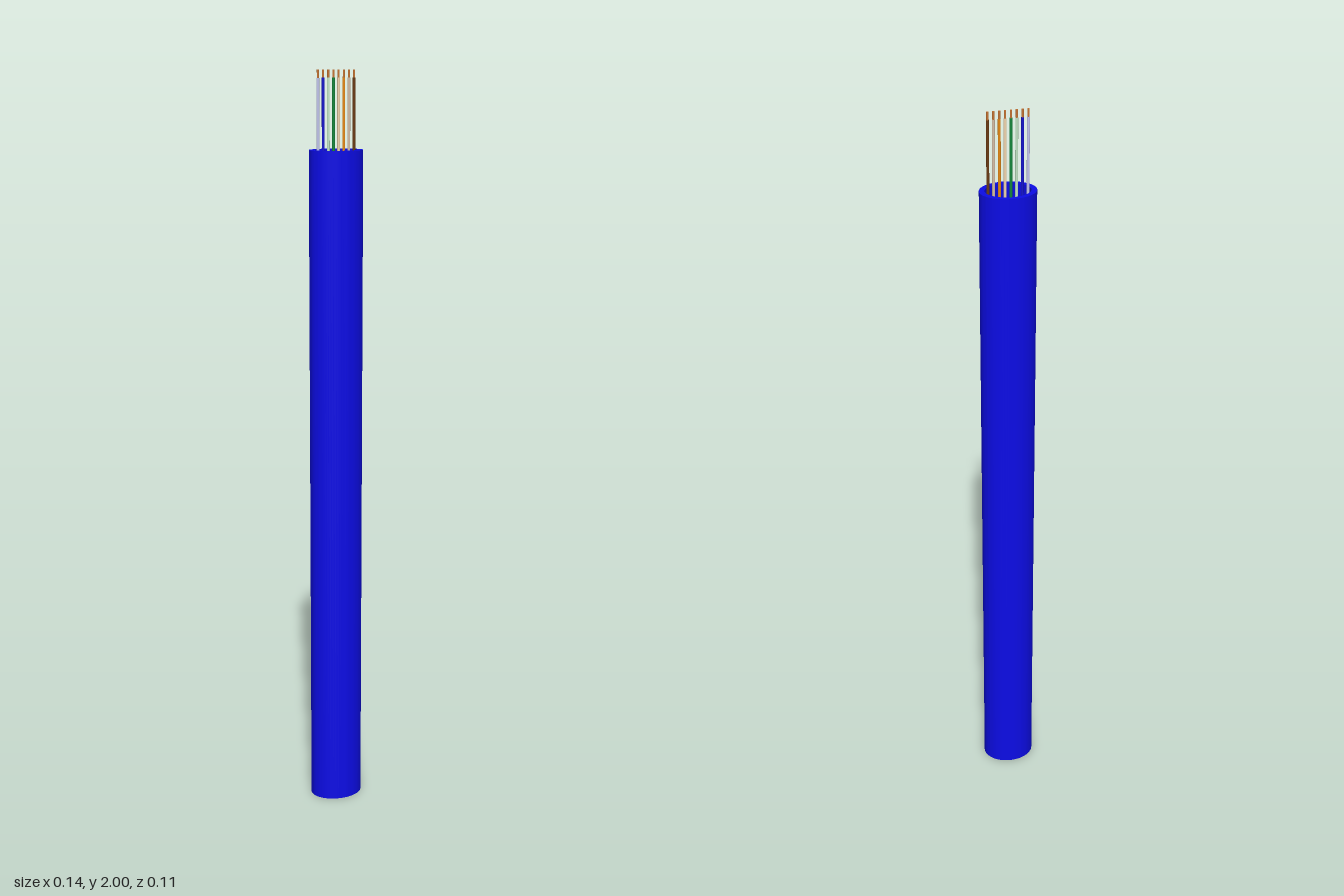
import * as THREE from 'three';
import { toCreasedNormals } from 'three/addons/utils/BufferGeometryUtils.js';

const material = (color) => new THREE.MeshStandardMaterial({ color });

// Upright cylinder spanning two heights
function rod(name, radius, bottom, top, mat) {
  const geometry = new THREE.CylinderGeometry(radius, radius, top - bottom, 16);
  const mesh = new THREE.Mesh(geometry, mat);
  mesh.name = name;
  mesh.position.y = (bottom + top) / 2;
  return mesh;
}

export function createModel() {
  const cable = new THREE.Group();
  cable.name = 'cable';

  // Hollow oval jacket, open at both ends
  const outer = 0.0715, inner = 0.0572, height = 1.8;
  const profile = [[inner, 0], [outer, 0], [outer, height], [inner, height], [inner, 0]]
    .map(([r, y]) => new THREE.Vector2(r, y));
  const jacketGeometry = new THREE.LatheGeometry(profile, 64);
  jacketGeometry.scale(1, 1, 0.8);
  const jacket = new THREE.Mesh(toCreasedNormals(jacketGeometry, 0.6), material(0x0c0ce6));
  jacket.name = 'jacket';
  cable.add(jacket);

  // Slightly slanted row of eight insulated wires, in pairs of pale and full colour
  const colors = [0xc4c8f0, 0x1414d0, 0xc4e8c8, 0x14883c, 0xf4d8b0, 0xe88a14, 0xd8c0a8, 0x6b3a12];
  const copper = material(0xc87533);
  colors.forEach((color, i) => {
    const t = i / (colors.length - 1) - 0.5;
    const wire = new THREE.Group();
    wire.name = `wire${i + 1}`;
    wire.add(rod('insulation', 0.0036, 0.2, 1.98, material(color)));
    wire.add(rod('copperCore', 0.0027, 0.2, 2, copper));
    wire.position.set(t * 0.1, 0, -t * 0.005);
    cable.add(wire);
  });

  return cable;
}
